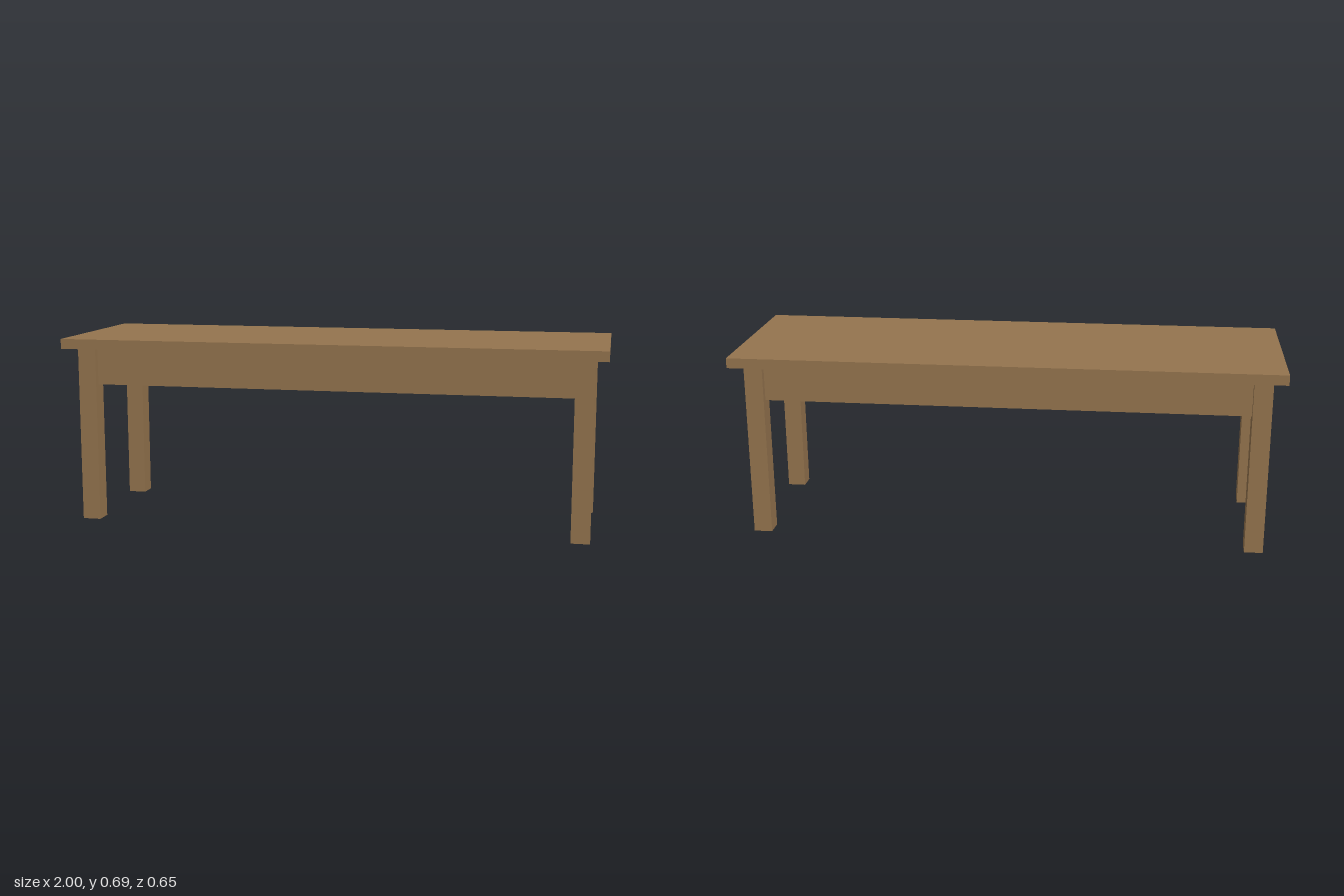
import * as THREE from 'three';

export function createModel() {
  const model = new THREE.Group();
  model.name = 'bench';
  const wood = new THREE.MeshStandardMaterial({ color: 0x94744e });
  wood.name = 'wood';

  const addBox = (name, w, h, d, x, y, z) => {
    const mesh = new THREE.Mesh(new THREE.BoxGeometry(w, h, d), wood);
    mesh.name = name;
    mesh.position.set(x, y, z);
    model.add(mesh);
  };

  const height = 0.692, topThick = 0.037, under = height - topThick;
  const leg = 0.068, legX = 0.919, legZ = 0.2425;
  const apronHeight = 0.139, apronThick = 0.023;
  const apronY = under - apronHeight / 2;

  // Overhanging top board
  addBox('top', 2, topThick, 0.648, 0, height - topThick / 2, 0);

  // Four square legs
  for (const x of [1, -1])
    for (const z of [1, -1])
      addBox(`${z > 0 ? 'front' : 'back'}${x > 0 ? 'Left' : 'Right'}Leg`,
        leg, under, leg, x * legX, under / 2, z * legZ);

  // Aprons between the legs, centred on the leg thickness
  for (const s of [1, -1]) {
    addBox(s > 0 ? 'frontApron' : 'backApron',
      2 * legX - leg, apronHeight, apronThick, 0, apronY, s * legZ);
    addBox(s > 0 ? 'leftApron' : 'rightApron',
      apronThick, apronHeight, 2 * legZ - leg, s * legX, apronY, 0);
  }

  return model;
}
